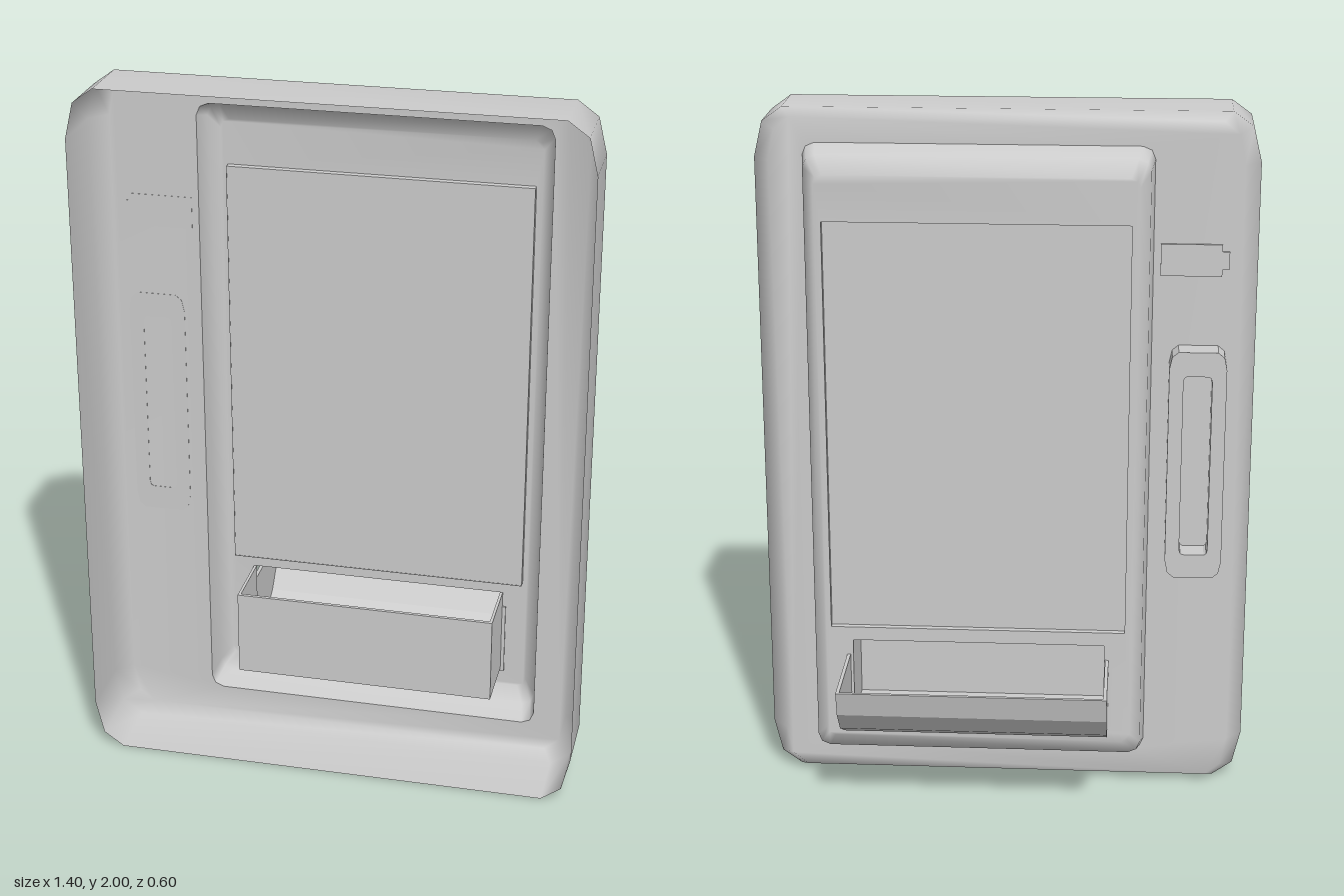
import * as THREE from 'three';
import { mergeGeometries, mergeVertices } from 'three/addons/utils/BufferGeometryUtils.js';

const grey = new THREE.MeshStandardMaterial({ color: 0xcccccc, side: THREE.DoubleSide });
const flat = new THREE.MeshStandardMaterial({ color: 0xcccccc, side: THREE.DoubleSide, flatShading: true });

const V = (x, y) => new THREE.Vector2(x, y);

// Counter-clockwise rectangle whose corners are cut in two straight steps
function outline(x0, x1, y0, y1, rx, ry = rx) {
  const corners = [[x1 - rx, y0 + ry, -1], [x1 - rx, y1 - ry, 0], [x0 + rx, y1 - ry, 1], [x0 + rx, y0 + ry, 2]];
  return corners.flatMap(([cx, cy, q]) => [0, 0.5, 1].map((t) => {
    const a = (q + t) * Math.PI / 2;
    return V(cx + rx * Math.cos(a), cy + ry * Math.sin(a));
  }));
}

const rectangle = (x0, x1, y0, y1) => [V(x0, y0), V(x1, y0), V(x1, y1), V(x0, y1)];

function shapeWith(points, holes = []) {
  const shape = new THREE.Shape(points);
  holes.forEach((h) => shape.holes.push(new THREE.Path(h)));
  return shape;
}

// Sheet-metal pressing: walls through the rings, closed at the rear by a face with holes
function pressing(rings, holes) {
  const n = rings[0].points.length;
  const positions = rings.flatMap(({ points, z }) => points.flatMap((p) => [p.x, p.y, z]));
  const index = [];
  for (let r = 0; r < rings.length - 1; r++) {
    for (let i = 0; i < n; i++) {
      const a = r * n + i, b = r * n + (i + 1) % n;
      index.push(a, a + n, b + n, a, b + n, b);
    }
  }
  const walls = new THREE.BufferGeometry();
  walls.setAttribute('position', new THREE.Float32BufferAttribute(positions, 3));
  walls.setIndex(index);

  const last = rings[rings.length - 1];
  const face = new THREE.ShapeGeometry(shapeWith(last.points, holes));
  face.translate(0, 0, last.z);
  face.deleteAttribute('normal');
  face.deleteAttribute('uv');
  face.setIndex(Array.from(face.index.array).reverse());

  const geometry = mergeVertices(mergeGeometries([walls, face]), 1e-4);
  geometry.computeVertexNormals();
  return geometry;
}

const slab = (points, holes, depth) =>
  new THREE.ExtrudeGeometry(shapeWith(points, holes), { depth, bevelEnabled: false });

export function createModel() {
  const model = new THREE.Group();
  const add = (name, geometry, material = flat, parent = model) => {
    const mesh = new THREE.Mesh(geometry, material);
    mesh.name = name;
    parent.add(mesh);
    return mesh;
  };
  const box = (name, x0, x1, y0, y1, z0, z1, parent) => {
    const g = new THREE.BoxGeometry(x1 - x0, y1 - y0, z1 - z0);
    g.translate((x0 + x1) / 2, (y0 + y1) / 2, (z0 + z1) / 2);
    return add(name, g, flat, parent);
  };

  // Outer housing, open towards +z, with an opening for the raised panel
  const panelBase = outline(-0.41, 0.56, 0.1, 1.91, 0.035);
  add('housing', pressing([
    { points: outline(-0.7, 0.7, 0, 2, 0.08, 0.14), z: 0.3 },
    { points: outline(-0.7, 0.7, 0, 2, 0.08, 0.14), z: 0.115 },
    { points: outline(-0.655, 0.655, 0.02, 1.98, 0.06, 0.12), z: 0.07 },
  ], [panelBase]), grey);

  // Raised panel with cut-outs for the screen and the tray
  const screenHole = rectangle(-0.35, 0.5, 0.51, 1.71);
  const trayHole = rectangle(-0.295, 0.445, 0.22, 0.47);
  add('raisedPanel', pressing([
    { points: panelBase, z: 0.07 },
    { points: outline(-0.4, 0.55, 0.12, 1.89, 0.035), z: 0 },
    { points: outline(-0.37, 0.52, 0.165, 1.84, 0.025), z: -0.025 },
  ], [screenHole, trayHole]), grey);

  // Screen set slightly back inside its frame
  const frame = slab(outline(-0.352, 0.502, 0.508, 1.712, 0.002), [screenHole], 0.02);
  frame.translate(0, 0, -0.024);
  add('screenFrame', frame);
  const screen = new THREE.PlaneGeometry(0.85, 1.2);
  screen.translate(0.075, 1.11, -0.005);
  add('screen', screen);

  // Delivery tray: curved scoop and two end plates
  const tray = new THREE.Group();
  tray.name = 'deliveryTray';
  model.add(tray);
  const outer = [V(0.02, 0.21), V(0.13, 0.23), V(0.22, 0.28), V(0.28, 0.35), V(0.3, 0.425)];
  const inner = [V(0.29, 0.425), V(0.27, 0.355), V(0.212, 0.289), V(0.125, 0.24), V(0.02, 0.22)];
  const alongX = (points, x, width) => {
    const g = slab(points, [], width);
    g.rotateY(Math.PI / 2);
    g.translate(x, 0, 0);
    return g;
  };
  add('trayScoop', alongX([...outer, ...inner], -0.305, 0.76), flat, tray);
  for (const x of [-0.305, 0.445]) {
    add('trayEnd', alongX([...outer, V(0.02, 0.425)], x, 0.01), flat, tray);
  }

  // Hopper behind the tray, open at the top
  const hopper = new THREE.Group();
  hopper.name = 'hopper';
  model.add(hopper);
  box('hopperWall', -0.3, 0.445, 0.22, 0.47, 0.15, 0.16, hopper);
  box('hopperFloor', -0.3, 0.445, 0.22, 0.23, -0.025, 0.16, hopper);
  for (const x of [-0.3, 0.437]) box('hopperSide', x, x + 0.008, 0.22, 0.47, -0.025, 0.16, hopper);

  // Pull handle: upright ring with a long slot
  const handle = slab(outline(-0.62, -0.46, 0.68, 1.35, 0.025, 0.05),
    [outline(-0.58, -0.5, 0.75, 1.28, 0.01, 0.015)], 0.075);
  handle.translate(0, 0, -0.004);
  add('handle', handle);

  // Thin lock plate above the handle, with a small tab
  const plate = slab([V(-0.62, 1.57), V(-0.6, 1.57), V(-0.6, 1.55), V(-0.43, 1.55),
    V(-0.43, 1.64), V(-0.6, 1.64), V(-0.6, 1.62), V(-0.62, 1.62)], [], 0.008);
  plate.translate(0, 0, 0.063);
  add('lockPlate', plate);

  return model;
}
